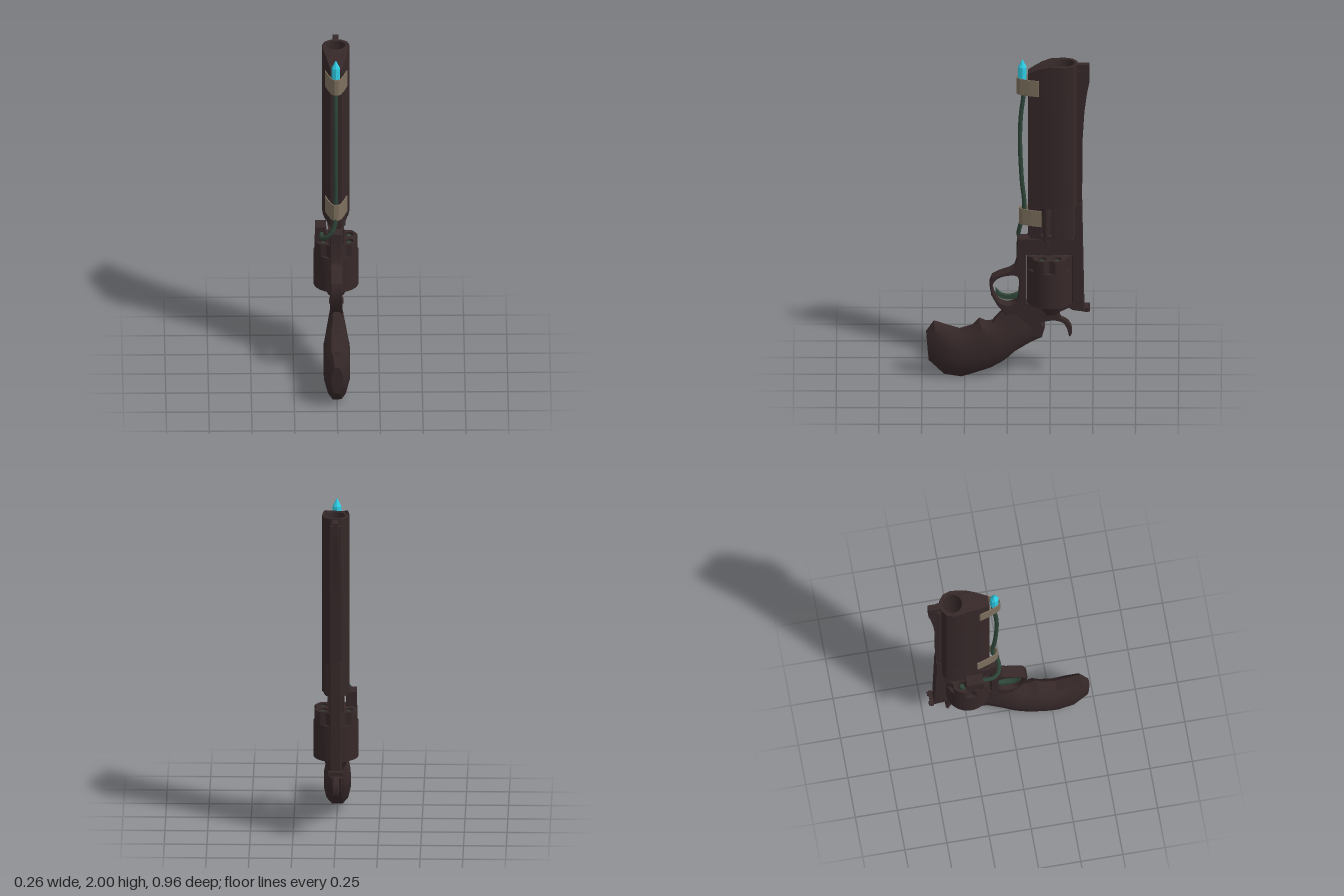
import * as THREE from 'three';
import { toCreasedNormals } from 'three/addons/utils/BufferGeometryUtils.js';

const mat = (name, color, side = THREE.FrontSide) => {
  const m = new THREE.MeshStandardMaterial({ color, side });
  m.name = name;
  return m;
};

export function createModel() {
  const root = new THREE.Group();
  root.name = 'revolver';
  const steel = mat('dark brown steel', 0x362829);
  const green = mat('dark green', 0x2e4539);
  const beige = mat('beige strap', 0x7d705e, THREE.DoubleSide);
  const cyan = mat('glowing cyan', 0x2fcfe6);

  const add = (name, geo, material, x = 0, y = 0, z = 0) => {
    const m = new THREE.Mesh(geo, material);
    m.name = name;
    m.position.set(x, y, z);
    root.add(m);
    return m;
  };
  const toShape = pts => new THREE.Shape(pts.map(p => new THREE.Vector2(p[0], p[1])));
  const curveShape = pts => new THREE.Shape(
    new THREE.CatmullRomCurve3(pts.map(p => new THREE.Vector3(p[0], p[1], 0)), true).getPoints(pts.length * 3).slice(0, -1)
      .map(p => new THREE.Vector2(p.x, p.y)));
  // side profile (z, y) given a width along x
  const sideExtrude = (shape, width, bevel = 0) => {
    const g = new THREE.ExtrudeGeometry(shape, {
      depth: width - 2 * bevel, curveSegments: 6, bevelEnabled: bevel > 0,
      bevelSize: bevel, bevelOffset: -bevel, bevelThickness: bevel, bevelSegments: 1,
    });
    g.translate(0, 0, -width / 2 + bevel).rotateY(-Math.PI / 2);
    return toCreasedNormals(g, 0.6);
  };
  // plan profile (x, -z) raised from y0 to y1
  const planExtrude = (shape, y0, y1) => new THREE.ExtrudeGeometry(shape,
    { depth: y1 - y0, bevelEnabled: false, curveSegments: 12 }).rotateX(-Math.PI / 2).translate(0, y0, 0);
  const mirrored = half => [...half, ...half.slice().reverse().map(([x, s]) => [-x, s])];
  const cyl = (r0, r1, h, n = 16) => new THREE.CylinderGeometry(r0, r1, h, n);

  // Barrel: upper length with bore and sloped muzzle
  const half = [[0.032, 0.12], [0.045, 0.16], [0.057, 0.2], [0.07, 0.25], [0.078, 0.3], [0.08, 0.34], [0.066, 0.382], [0.03, 0.408]];
  const barrelShape = toShape(mirrored(half));
  const bore = new THREE.Path();
  bore.absarc(0, 0.335, 0.056, 0, Math.PI * 2, true);
  barrelShape.holes.push(bore);
  const barrel = planExtrude(barrelShape, 1.08, 1.98);
  const p = barrel.attributes.position;
  for (let i = 0; i < p.count; i++) {
    const t = Math.max(0, p.getZ(i) + 0.25) / 0.13;
    if (p.getY(i) > 1.9) p.setY(i, 1.98 - 0.055 * Math.pow(t, 1.4));
  }
  add('barrel', toCreasedNormals(barrel, 0.5), steel);

  // Barrel root with a slot on the left for the ejector rod
  const slot = [[0.032, 0.12], [0.056, 0.197], [0.015, 0.197], [0.015, 0.257], [0.07, 0.257], [0.08, 0.34], [0.066, 0.382], [0.03, 0.4]];
  const other = half.slice().reverse().map(([x, s]) => [-x, s]);
  add('barrelRoot', toCreasedNormals(planExtrude(toShape([...slot, ...other]), 0.9, 1.08), 0.5), steel);
  const collar = mirrored(half.map(([x, s]) => [x * 0.85, 0.26 + (s - 0.26) * 0.93]));
  add('barrelCollar', planExtrude(toShape(collar), 0.88, 0.9), steel);
  add('ejectorRod', cyl(0.02, 0.02, 0.18), steel, 0.036, 0.95, -0.227);
  add('ejectorTip', cyl(0.027, 0.027, 0.055), steel, 0.036, 1.052, -0.227);

  // Top rib rising into the front sight
  add('topRib', sideExtrude(toShape([[-0.39, 1.975], [-0.48, 1.975], [-0.48, 1.87], [-0.466, 1.8],
    [-0.45, 1.68], [-0.439, 1.5], [-0.436, 1.08], [-0.39, 1.08]]), 0.034), steel);
  for (const s of [-1, 1])
    add('ribRail', new THREE.BoxGeometry(0.016, 0.86, 0.04), steel, s * 0.025, 1.51, -0.408);

  // Frame with trigger guard and cylinder window
  const frame = toShape([
    [-0.2, 0.25], [-0.08, 0.24], [0.03, 0.42], [0.06, 0.455], [0.095, 0.52], [0.106, 0.59], [0.09, 0.632], [0.05, 0.655],
    [-0.01, 0.675], [-0.04, 0.695], [-0.052, 0.73], [-0.055, 0.88], [-0.39, 0.88], [-0.395, 1.1],
    [-0.437, 1.1], [-0.45, 0.43], [-0.47, 0.412], [-0.38, 0.425], [-0.36, 0.44], [-0.28, 0.4], [-0.21, 0.38], [-0.2, 0.34], [-0.22, 0.32]]);
  frame.holes.push(
    toShape([[-0.112, 0.47], [-0.112, 0.775], [-0.378, 0.775], [-0.378, 0.47]]),
    curveShape([[-0.06, 0.635], [0, 0.641], [0.065, 0.617], [0.088, 0.575], [0.072, 0.515], [0.04, 0.472], [-0.01, 0.46], [-0.05, 0.485], [-0.066, 0.55]]));
  add('frame', sideExtrude(frame, 0.072, 0.006), steel);
  add('frameFront', new THREE.BoxGeometry(0.094, 0.1, 0.27), steel, 0, 0.83, -0.25);
  add('rearSight', new THREE.BoxGeometry(0.088, 0.025, 0.022), steel, 0, 0.43, -0.462);
  for (const s of [-1, 1])
    add('rearSightPost', new THREE.BoxGeometry(0.022, 0.022, 0.012), steel, s * 0.03, 0.43, -0.475);
  add('recoilShield', cyl(0.085, 0.045, 0.07, 20), steel, 0, 0.432, -0.252);
  for (const s of [-1, 1])
    add('framePin', cyl(0.018, 0.018, 0.008, 12).rotateZ(Math.PI / 2), steel, s * 0.038, 0.43, -0.095);

  // Fluted cylinder with six chambers
  const cz = -0.246;
  const drum = new THREE.Group();
  drum.name = 'cylinder';
  drum.position.z = cz;
  const outline = fluted => {
    const pts = [];
    for (let i = 0; i < 72; i++) {
      const a = i / 72 * Math.PI * 2;
      const r = 0.131 - (fluted ? 0.026 * Math.max(0, Math.cos(6 * a) - 0.25) : 0);
      pts.push([r * Math.cos(a), r * Math.sin(a)]);
    }
    return toShape(pts);
  };
  const nose = outline(true);
  for (let k = 0; k < 6; k++) {
    const a = Math.PI / 6 + k * Math.PI / 3, x = 0.088 * Math.cos(a), z = 0.088 * Math.sin(a);
    const hole = new THREE.Path();
    hole.absarc(x, z, 0.027, 0, Math.PI * 2, true);
    nose.holes.push(hole);
    const round = new THREE.Mesh(cyl(0.014, 0.023, 0.07, 12), green);
    round.name = 'cartridge';
    round.position.set(x, 0.725, z);
    drum.add(round);
  }
  for (const g of [planExtrude(outline(false), 0.472, 0.69), planExtrude(nose, 0.69, 0.768)])
    drum.add(new THREE.Mesh(toCreasedNormals(g, 0.4), steel));
  drum.children.slice(-2).forEach((m, i) => { m.name = ['cylinderBody', 'cylinderNose'][i]; });
  root.add(drum);
  add('cylinderAxle', cyl(0.028, 0.028, 0.03), steel, 0, 0.77, cz);

  // Hammer and trigger
  add('hammer', sideExtrude(curveShape([[-0.19, 0.4], [-0.19, 0.345], [-0.27, 0.352], [-0.325, 0.335], [-0.35, 0.295], [-0.362, 0.25],
    [-0.376, 0.27], [-0.372, 0.32], [-0.345, 0.355], [-0.31, 0.375], [-0.3, 0.42]]), 0.038, 0.005), steel);
  add('trigger', sideExtrude(curveShape([[-0.085, 0.535], [-0.045, 0.518], [0.0, 0.51], [0.04, 0.522], [0.07, 0.552],
    [0.062, 0.515], [0.03, 0.49], [-0.01, 0.485], [-0.07, 0.5]]), 0.03), green);

  // Grip lofted through rings: upper z, y, lower z, y, half width
  const rings = [
    [-0.0, 0.445, -0.205, 0.25, 0.04], [0.05, 0.39, -0.13, 0.215, 0.053], [0.09, 0.34, -0.04, 0.16, 0.067],
    [0.125, 0.335, 0.0, 0.122, 0.073], [0.165, 0.352, 0.04, 0.093, 0.078], [0.205, 0.308, 0.1, 0.06, 0.08],
    [0.28, 0.285, 0.2, 0.025, 0.08], [0.36, 0.31, 0.27, 0.003, 0.077], [0.43, 0.336, 0.37, 0.018, 0.066],
    [0.475, 0.275, 0.46, 0.1, 0.034]];
  const N = 12, verts = [], idx = [];
  for (const [uz, uy, lz, ly, w] of rings)
    for (let j = 0; j < N; j++) {
      const a = (j + 0.5) / N * Math.PI * 2, c = Math.cos(a) / Math.cos(Math.PI / N);
      const s = Math.sign(Math.sin(a)) * Math.pow(Math.abs(Math.sin(a)), 0.7);
      verts.push(w * s, (uy + ly) / 2 + (uy - ly) / 2 * c, (uz + lz) / 2 + (uz - lz) / 2 * c);
    }
  for (let i = 0; i < rings.length - 1; i++)
    for (let j = 0; j < N; j++) {
      const a = i * N + j, b = i * N + (j + 1) % N;
      idx.push(a, a + N, b, b, a + N, b + N);
    }
  const last = (rings.length - 1) * N;
  for (let j = 1; j < N - 1; j++) idx.push(0, j, j + 1, last, last + j + 1, last + j);
  const grip = new THREE.BufferGeometry();
  grip.setAttribute('position', new THREE.Float32BufferAttribute(verts, 3));
  grip.setIndex(idx);
  add('grip', toCreasedNormals(grip, 0.55), steel);

  // Side block and hose feeding the glowing tip
  add('sideBlock', new THREE.BoxGeometry(0.065, 0.09, 0.1), steel, -0.09, 0.825, -0.22);
  const hose = new THREE.CatmullRomCurve3([
    [-0.085, 0.83, -0.18], [-0.085, 0.835, -0.11], [-0.065, 0.85, -0.075], [-0.025, 0.89, -0.064], [-0.006, 0.95, -0.075],
    [-0.004, 1.06, -0.098], [-0.004, 1.25, -0.083], [-0.004, 1.5, -0.073], [-0.004, 1.65, -0.079], [-0.004, 1.8, -0.095], [-0.004, 1.88, -0.088]
  ].map(v => new THREE.Vector3(...v)));
  add('hose', new THREE.TubeGeometry(hose, 60, 0.013, 8), green);

  // Straps wrapped around the barrel's edge
  const strapHalf = [[0.066, 0.18], [0.05, 0.125], [0.03, 0.072], [0.012, 0.053]];
  const outer = mirrored(strapHalf);
  const inner = mirrored(strapHalf.map(([x, s]) => [x - 0.005, s + 0.004])).reverse();
  for (const [y, z] of [[1.79, 0], [0.965, -0.015]])
    add('strap', planExtrude(toShape([...outer, ...inner]), y, y + 0.1), beige, 0, 0, z);

  // Glowing tip
  const tip = [[0, 1.86], [0.025, 1.86], [0.025, 1.955], [0.012, 1.98], [0.003, 2.0], [0, 2.0]];
  add('glowTip', toCreasedNormals(new THREE.LatheGeometry(tip.map(q => new THREE.Vector2(q[0], q[1])), 8), 0.4), cyan, -0.003, 0, -0.087);

  return root;
}
